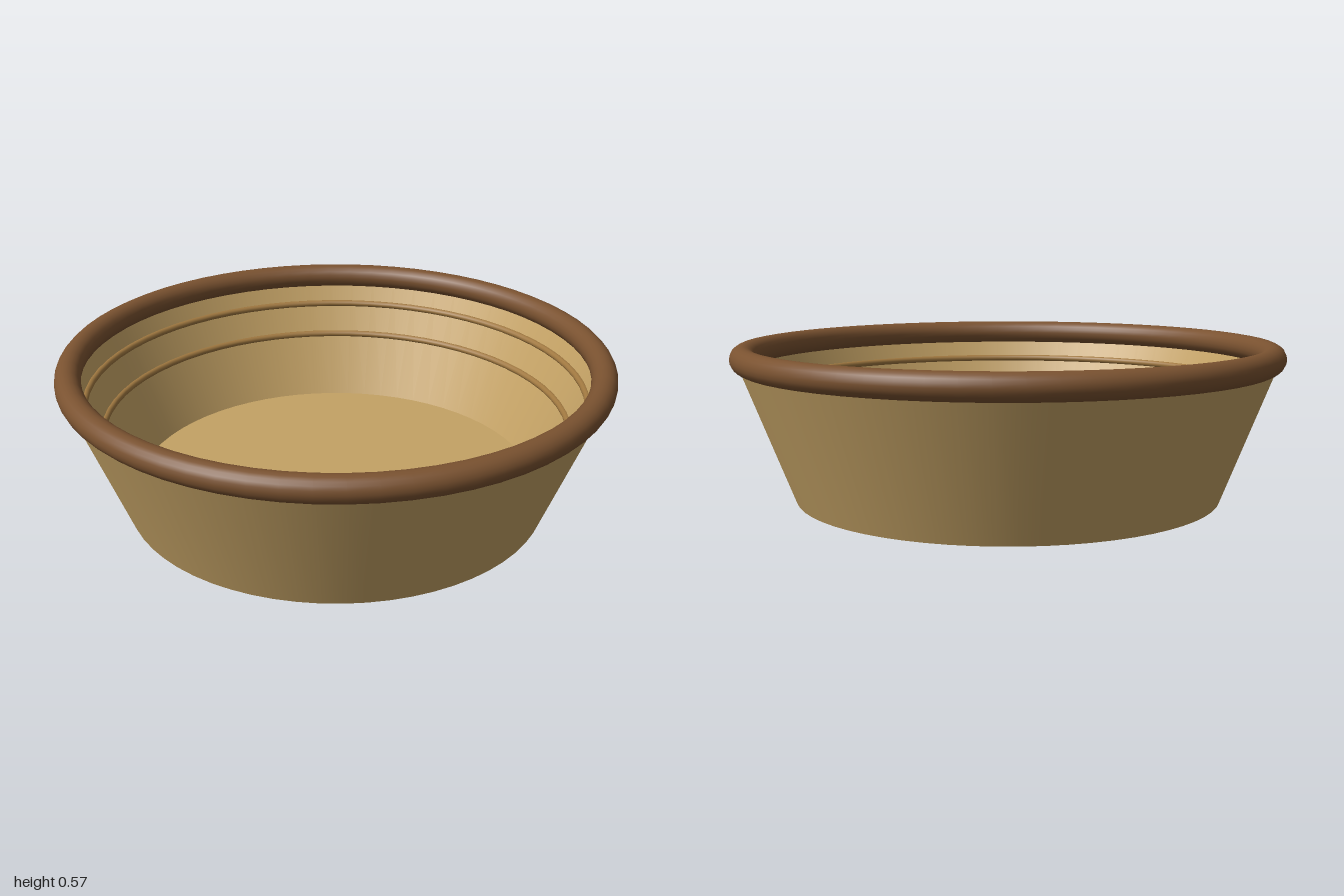
import * as THREE from 'three';

export function createModel() {
  const model = new THREE.Group();
  const clay = new THREE.MeshStandardMaterial({ name: 'sandy clay', color: 0xc4a265 });
  const brown = new THREE.MeshStandardMaterial({ name: 'dark brown', color: 0x7a5230 });
  const tan = new THREE.MeshStandardMaterial({ name: 'warm tan', color: 0xa07840 });
  const SEGMENTS = 64;

  function add(name, geometry, material, y = 0) {
    const mesh = new THREE.Mesh(geometry, material);
    mesh.name = name;
    mesh.position.y = y;
    model.add(mesh);
    return mesh;
  }
  // One straight, smooth wall; it faces outward when the points rise
  const wall = (...points) =>
    new THREE.LatheGeometry(points.map(([r, y]) => new THREE.Vector2(r, y)), SEGMENTS);
  const disc = (radius, turn) => new THREE.CircleGeometry(radius, SEGMENTS).rotateX(turn);
  const ring = (radius, tube, sides) =>
    new THREE.TorusGeometry(radius, tube, sides, SEGMENTS).rotateX(Math.PI / 2);

  // Flared bowl with a thick floor
  add('outerWall', wall([0.78, 0], [0.98, 0.52]), clay);
  add('innerWall', wall([0.96, 0.52], [0.745, 0.05]), clay);
  add('wallTop', wall([0.98, 0.52], [0.96, 0.52]), clay);
  add('floor', disc(0.745, -Math.PI / 2), clay, 0.05);
  add('base', disc(0.78, Math.PI / 2), clay);

  // Rolled rim
  add('rim', ring(0.954, 0.046, 20), brown, 0.52);

  // Raised bands inside the bowl
  add('lowerInnerBand', ring(0.855, 0.013, 12), tan, 0.287);
  add('upperInnerBand', ring(0.909, 0.013, 12), tan, 0.407);

  return model;
}
